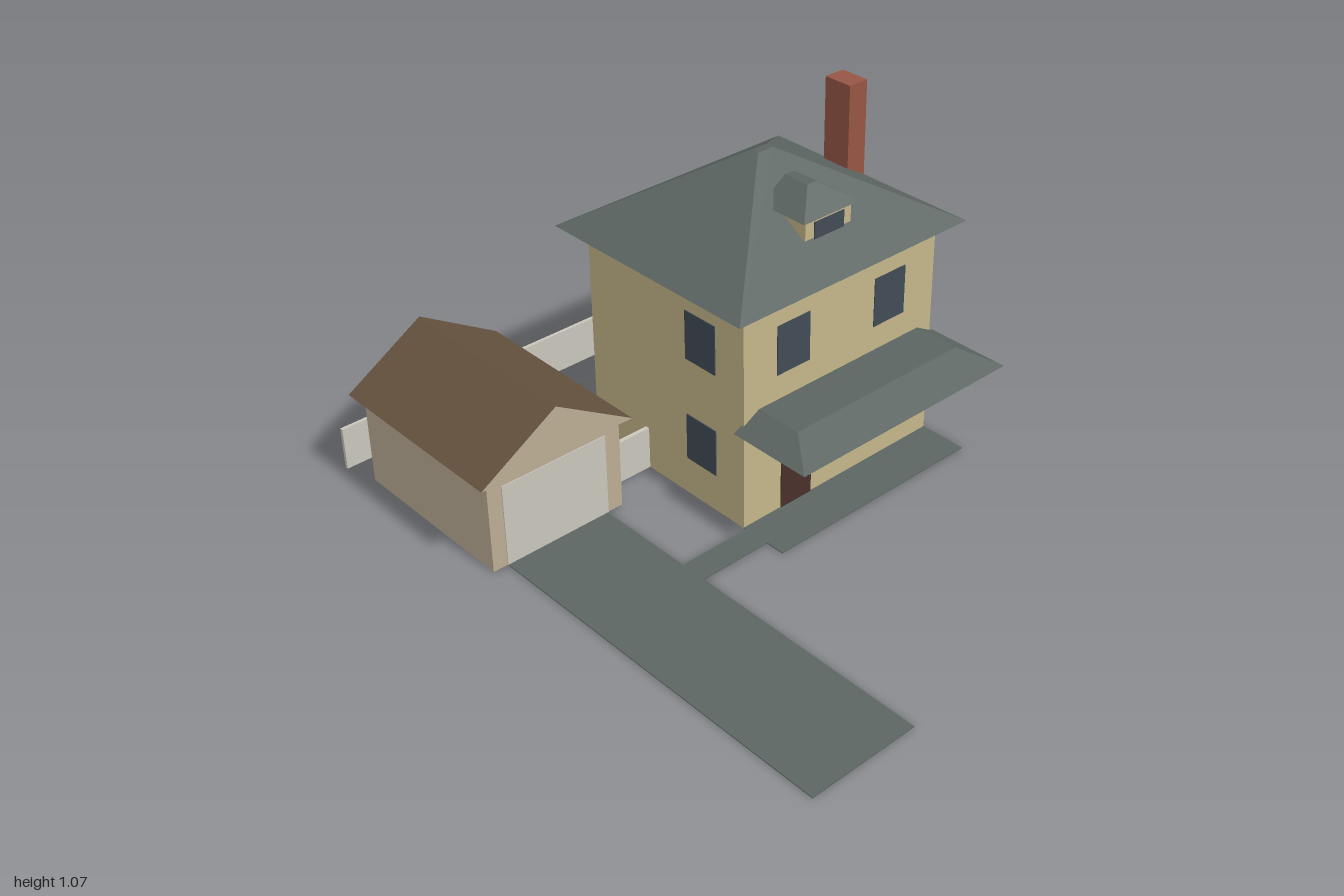
import * as THREE from 'three';

const mat = (name, color, side = THREE.FrontSide) => {
  const m = new THREE.MeshStandardMaterial({ color, side });
  m.name = name;
  return m;
};

export function createModel() {
  const model = new THREE.Group();
  model.name = 'houseWithGarage';

  const wall = mat('cream wall', 0xc5b68a, THREE.DoubleSide);
  const slate = mat('slate grey', 0x5c6562);
  const glass = mat('dark blue glass', 0x414b56);
  const wood = mat('dark door wood', 0x48302b);
  const brick = mat('red brick', 0x965544);
  const garageWall = mat('beige garage wall', 0xbbad95, THREE.DoubleSide);
  const garageRoof = mat('brown garage roof', 0x665240);
  const pale = mat('pale stone', 0xc9c6bb);

  const add = (name, geometry, material, parent = model) => {
    const mesh = new THREE.Mesh(geometry, material);
    mesh.name = name;
    parent.add(mesh);
    return mesh;
  };
  const group = (name) => {
    const g = new THREE.Group();
    g.name = name;
    model.add(g);
    return g;
  };

  // Box given by its limits on each axis
  const boxGeo = (x0, x1, y0, y1, z0, z1) =>
    new THREE.BoxGeometry(x1 - x0, y1 - y0, z1 - z0)
      .translate((x0 + x1) / 2, (y0 + y1) / 2, (z0 + z1) / 2);

  // Four walls without floor or ceiling
  const wallsGeo = (...limits) => {
    const g = boxGeo(...limits);
    const index = Array.from(g.index.array);
    g.setIndex([...index.slice(0, 12), ...index.slice(24)]);
    g.clearGroups();
    return g;
  };

  // Roof block: a box whose top is moved to a smaller rectangle [x0, x1, z0, z1]
  const roofGeo = (base, y0, top, y1) => {
    const g = new THREE.BoxGeometry(1, 1, 1);
    const p = g.attributes.position;
    for (let i = 0; i < p.count; i++) {
      const up = p.getY(i) > 0;
      const r = up ? top : base;
      p.setXYZ(i, r[p.getX(i) > 0 ? 1 : 0], up ? y1 : y0, r[p.getZ(i) > 0 ? 3 : 2]);
    }
    g.computeVertexNormals();
    return g;
  };

  // House body
  const house = group('house');
  const X0 = -0.1, X1 = 0.69, Z0 = -0.61, Z1 = 0.08, T = 0.003;
  add('houseWalls', wallsGeo(X0, X1, 0, 0.75, Z0, Z1), wall, house);
  add('mainRoof', roofGeo([-0.17, 0.76, -0.68, 0.14], 0.75, [0.265, 0.325, -0.28, -0.252], 1.0), slate, house);
  add('porchRoof', roofGeo([-0.13, 0.72, 0.07, 0.36], 0.35, [-0.04, 0.63, 0.07, 0.24], 0.4), slate, house);
  add('chimney', boxGeo(0.69, 0.765, 0, 1.07, -0.4, -0.295), brick, house);

  // Windows and doors as thin plates on the walls
  const upper = [0.485, 0.65], lower = [0.13, 0.29];
  const onFront = (name, x0, x1, y, m) => add(name, boxGeo(x0, x1, ...y, Z1, Z1 + T), m, house);
  const onBack = (name, x0, x1, y, m) => add(name, boxGeo(x0, x1, ...y, Z0 - T, Z0), m, house);
  for (const [x0, x1] of [[0.03, 0.16], [0.43, 0.56]]) {
    onFront('frontUpperWindow', x0, x1, upper, glass);
    onBack('backUpperWindow', x0, x1, upper, glass);
    onBack('backLowerWindow', x0, x1, lower, glass);
  }
  onFront('frontLowerWindow', 0.37, 0.54, [0.13, 0.29], glass);
  onFront('frontDoor', 0.05, 0.175, [0, 0.275], wood);
  onBack('backDoor', 0.245, 0.36, [0, 0.275], glass);
  for (const y of [upper, lower]) {
    for (const [z0, z1] of [[-0.17, -0.04], [-0.49, -0.36]])
      add('chimneySideWindow', boxGeo(X1, X1 + T, ...y, z0, z1), glass, house);
    add('garageSideWindow', boxGeo(X0 - T, X0, ...y, -0.17, -0.04), glass, house);
  }

  // Dormer
  const dormer = group('dormer');
  add('dormerWalls', boxGeo(0.2, 0.385, 0.835, 0.9, -0.1, 0.015), wall, dormer);
  add('dormerWindow', boxGeo(0.235, 0.355, 0.83, 0.885, 0.015, 0.015 + T), glass, dormer);
  add('dormerRoof', roofGeo([0.18, 0.405, -0.148, 0.03], 0.9, [0.275, 0.31, -0.148, -0.055], 0.965), slate, dormer);

  // Garage, its gables in the wall colour
  const garage = group('garage');
  add('garageWalls', wallsGeo(-0.77, -0.29, 0, 0.316, -0.88, -0.26), garageWall, garage);
  add('garageRoof', roofGeo([-0.805, -0.26, -0.908, -0.232], 0.316, [-0.533, -0.532, -0.908, -0.232], 0.48),
    [garageRoof, garageRoof, garageRoof, garageRoof, garageWall, garageWall], garage);
  add('garageDoor', boxGeo(-0.72, -0.345, 0, 0.28, -0.26, -0.26 + T), pale, garage);

  // Paving
  const paving = group('paving');
  add('driveway', boxGeo(-0.72, -0.35, 0, T, -0.255, 1), slate, paving);
  add('gardenPath', boxGeo(-0.35, X0, 0, T, 0.09, 0.18), slate, paving);
  add('porchFloor', boxGeo(X0, X1, 0, T, Z1, 0.245), slate, paving);

  // Garden wall
  const fence = group('gardenWall');
  add('backGardenWall', boxGeo(-0.8, 0.8, 0, 0.146, -1, -0.988), pale, fence);
  add('sideGardenWall', boxGeo(0.784, 0.8, 0, 0.146, -0.988, -0.11), pale, fence);
  add('linkGardenWall', boxGeo(-0.3, -0.03, 0, 0.146, -0.366, -0.352), pale, fence);

  return model;
}
